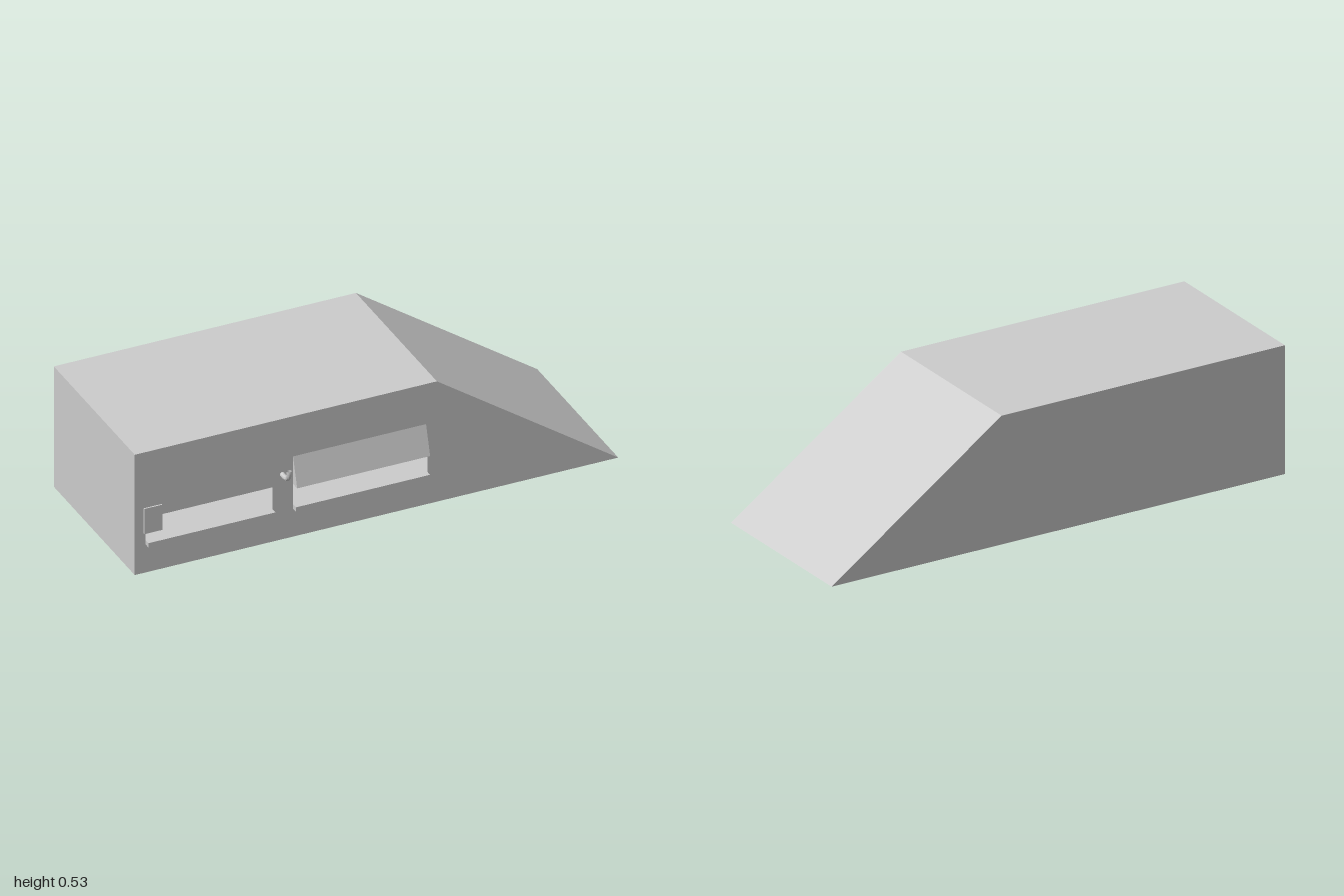
import * as THREE from 'three';

const mat = new THREE.MeshStandardMaterial({ color: 0xcccccc, flatShading: true, side: THREE.DoubleSide });
const FRONT = 0.32, BACK = -0.39;

function add(parent, name, geometry, x = 0, y = 0, z = 0) {
  const mesh = new THREE.Mesh(geometry, mat);
  mesh.name = name;
  mesh.position.set(x, y, z);
  parent.add(mesh);
  return mesh;
}

const toPath = (points, Type) => new Type(points.map(([x, y]) => new THREE.Vector2(x, y)));

// Box given by its limits on each axis
function addBox(parent, name, [x0, x1], [y0, y1], [z0, z1]) {
  add(parent, name, new THREE.BoxGeometry(x1 - x0, y1 - y0, z1 - z0),
    (x0 + x1) / 2, (y0 + y1) / 2, (z0 + z1) / 2);
}

export function createModel() {
  const model = new THREE.Group();
  model.name = 'serviceBuilding';

  // Hollow body: sloped profile with two serving windows in the front wall
  const profile = [[-1, 0], [1, 0], [0.25, 0.525], [-1, 0.525]];
  const windows = [
    { side: 'right', x: [-0.955, -0.43] },
    { side: 'left', x: [-0.345, 0.21] },
  ];
  const frontShape = toPath(profile, THREE.Shape);
  for (const { x: [a, b] } of windows) {
    frontShape.holes.push(toPath([[a, 0.14], [a, 0.237], [b, 0.237], [b, 0.14]], THREE.Path));
  }
  const body = new THREE.Group();
  body.name = 'body';
  model.add(body);
  add(body, 'frontWall', new THREE.ShapeGeometry(frontShape), 0, 0, FRONT);
  const backWall = add(body, 'backWall', new THREE.ShapeGeometry(toPath(profile.map(([x, y]) => [-x, y]).reverse(), THREE.Shape)), 0, 0, BACK);
  backWall.rotation.y = Math.PI;

  // Floor, ramp, roof and end wall: one flat panel per profile edge
  ['floor', 'ramp', 'roof', 'endWall'].forEach((name, i) => {
    const [ax, ay] = profile[i], [bx, by] = profile[(i + 1) % profile.length];
    const panel = new THREE.PlaneGeometry(Math.hypot(bx - ax, by - ay), FRONT - BACK);
    panel.rotateX(Math.PI / 2);
    panel.rotateZ(Math.atan2(by - ay, bx - ax));
    add(body, name, panel, (ax + bx) / 2, (ay + by) / 2, (FRONT + BACK) / 2);
  });

  // Counter ledges under the windows
  for (const { side, x } of windows) {
    addBox(model, side + 'Ledge', x, [0.122, 0.141], [FRONT, 0.345]);
  }

  // Small notice board over the corner of one window
  addBox(model, 'noticeBoard', [-0.963, -0.888], [0.172, 0.282], [FRONT, 0.326]);

  // Wedge-shaped awning over the other window
  const awning = new THREE.ExtrudeGeometry(
    toPath([[-FRONT, 0.23], [-FRONT, 0.35], [-0.356, 0.23]], THREE.Shape),
    { depth: 0.55, bevelEnabled: false });
  awning.rotateY(Math.PI / 2);
  add(model, 'awning', awning, -0.345, 0, 0);

  // Bent vent pipe between the windows, open at the top
  const bend = new THREE.CatmullRomCurve3([
    [0.31, 0.284], [0.345, 0.284], [0.368, 0.292], [0.379, 0.31], [0.379, 0.329],
  ].map(([z, y]) => new THREE.Vector3(-0.39, y, z)));
  add(model, 'ventPipe', new THREE.TubeGeometry(bend, 10, 0.01, 10));

  return model;
}
